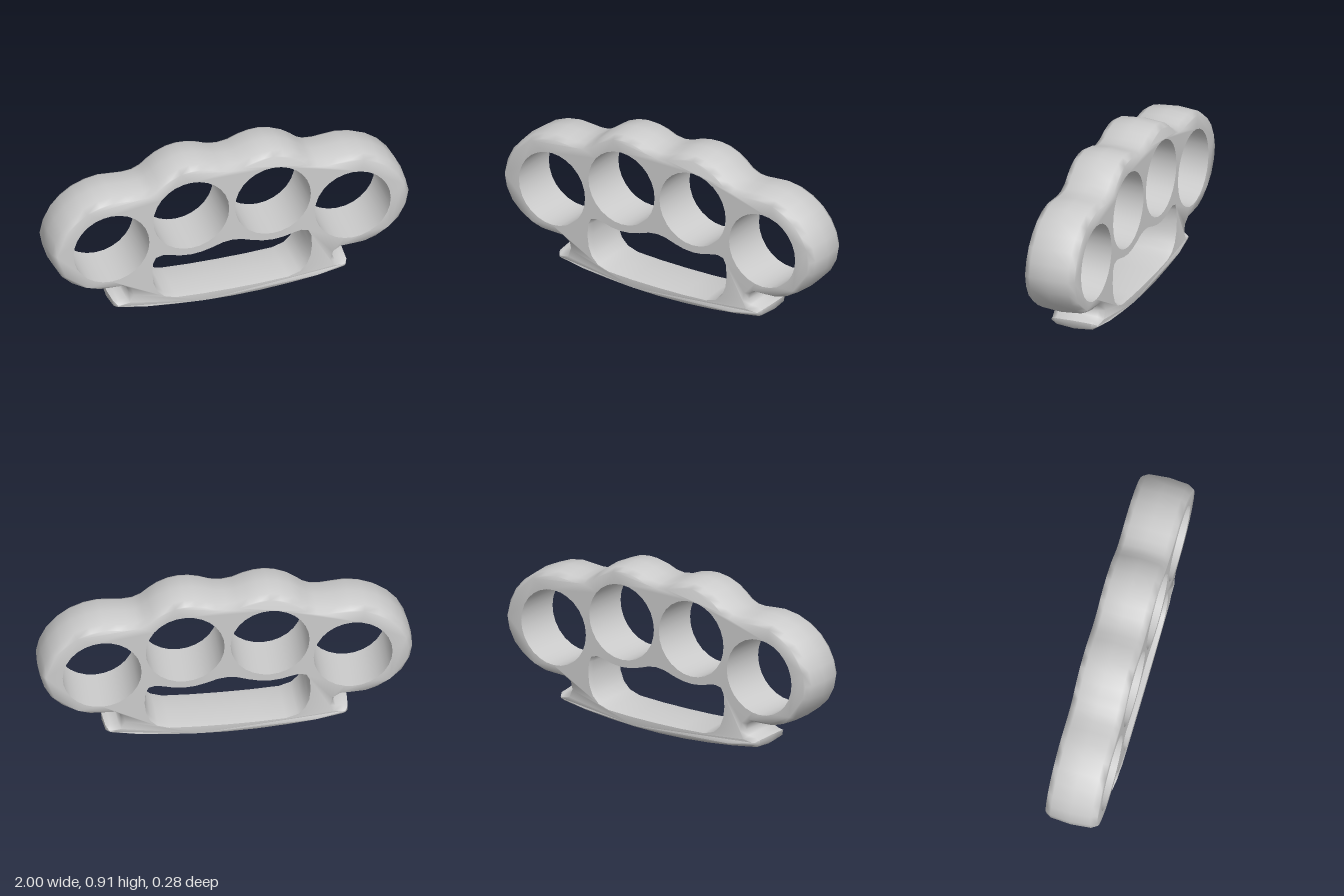
import * as THREE from 'three';
import { mergeGeometries, toCreasedNormals } from 'three/addons/utils/BufferGeometryUtils.js';

const HALF_DEPTH = 0.142;

// Right half of the outer silhouette, top centre to bottom centre
const OUTER = [
  [0, 0.86], [0.055, 0.868], [0.11, 0.89], [0.17, 0.904], [0.23, 0.907], [0.29, 0.897],
  [0.355, 0.87], [0.405, 0.835], [0.44, 0.805], [0.48, 0.787], [0.53, 0.783], [0.59, 0.788],
  [0.66, 0.793], [0.74, 0.78], [0.82, 0.748], [0.89, 0.698], [0.945, 0.635], [0.982, 0.56],
  [1, 0.48], [0.985, 0.4], [0.945, 0.325], [0.885, 0.267], [0.81, 0.222], [0.74, 0.2],
  [0.67, 0.196], [0.61, 0.195], [0.58, 0.178], [0.574, 0.15], [0.585, 0.125], [0.625, 0.118],
  [0.655, 0.108], [0.655, 0.07], [0.63, 0.052], [0.48, 0.032], [0.32, 0.015], [0.16, 0.004], [0, 0],
];

// Right half of the palm opening
const PALM = [
  [0, 0.378], [0.05, 0.372], [0.11, 0.352], [0.17, 0.337], [0.23, 0.332], [0.29, 0.338],
  [0.34, 0.351], [0.385, 0.36], [0.415, 0.353], [0.428, 0.325], [0.432, 0.26], [0.425, 0.2],
  [0.405, 0.15], [0.37, 0.115], [0.31, 0.096], [0.16, 0.089], [0, 0.087],
];

// Clockwise closed loop from a half outline
function mirrorLoop(half) {
  const right = half.map(([x, y]) => new THREE.Vector2(x, y));
  const left = right.slice(1, -1).reverse().map((p) => new THREE.Vector2(-p.x, p.y));
  return [...right, ...left];
}

// Clockwise circle
function ring(cx, cy, r, n = 28) {
  return Array.from({ length: n }, (_, i) => {
    const a = (-i / n) * Math.PI * 2;
    return new THREE.Vector2(cx + r * Math.cos(a), cy + r * Math.sin(a));
  });
}

// Moves a loop into the solid by a distance
function inset(loop, d) {
  const n = loop.length;
  return loop.map((p, i) => {
    const a = p.clone().sub(loop[(i + n - 1) % n]).normalize();
    const b = loop[(i + 1) % n].clone().sub(p).normalize();
    const normal = new THREE.Vector2(a.y + b.y, -a.x - b.x).normalize();
    return p.clone().addScaledVector(normal, -d);
  });
}

// Side wall through [inset, z] steps, back to front
function wall(loop, steps) {
  const n = loop.length;
  const pos = [];
  const index = [];
  steps.forEach(([d, z], s) => {
    inset(loop, d).forEach((p, i) => {
      pos.push(p.x, p.y, z);
      if (s === steps.length - 1) return;
      const a = s * n + i;
      const b = s * n + ((i + 1) % n);
      index.push(a, b, b + n, a, b + n, a + n);
    });
  });
  const geo = new THREE.BufferGeometry();
  geo.setAttribute('position', new THREE.Float32BufferAttribute(pos, 3));
  geo.setIndex(index);
  return geo.toNonIndexed();
}

// Crowned edge profile
const crown = (edge, shoulder) => [
  [edge, -HALF_DEPTH], [shoulder, -0.11], [0, 0], [shoulder, 0.11], [edge, HALF_DEPTH],
];

export function createModel() {
  const outer = mirrorLoop(OUTER).reverse();
  const palm = mirrorLoop(PALM);
  const fingers = [];
  for (const side of [-1, 1]) {
    fingers.push(ring(side * 0.227, 0.596, 0.211), ring(side * 0.671, 0.473, 0.211));
  }

  // Outer rim, palm opening and finger bores
  const parts = [
    wall(outer, crown(0.028, 0.009)),
    wall(palm, crown(0.012, 0.005)),
    ...fingers.map((f) => wall(f, [[0, -HALF_DEPTH], [0, HALF_DEPTH]])),
  ];

  // Front and back faces
  const face = new THREE.Shape(inset(outer, 0.028));
  face.holes = [inset(palm, 0.012), ...fingers].map((h) => new THREE.Path(h));
  for (const turn of [0, Math.PI]) {
    const cap = new THREE.ShapeGeometry(face).toNonIndexed();
    cap.translate(0, 0, HALF_DEPTH).rotateY(turn);
    cap.deleteAttribute('uv');
    cap.deleteAttribute('normal');
    parts.push(cap);
  }

  const body = mergeGeometries(parts);

  // Lug tips are slightly thinner than the body
  const pos = body.attributes.position;
  for (let i = 0; i < pos.count; i++) {
    if (Math.abs(pos.getX(i)) > 0.59 && pos.getY(i) < 0.15) pos.setZ(i, pos.getZ(i) * 0.92);
  }

  const mesh = new THREE.Mesh(
    toCreasedNormals(body, THREE.MathUtils.degToRad(68)),
    new THREE.MeshStandardMaterial({ color: 0xcccccc }),
  );
  mesh.name = 'fourRingGrip';
  const group = new THREE.Group();
  group.name = 'knuckleGrip';
  group.add(mesh);
  return group;
}
